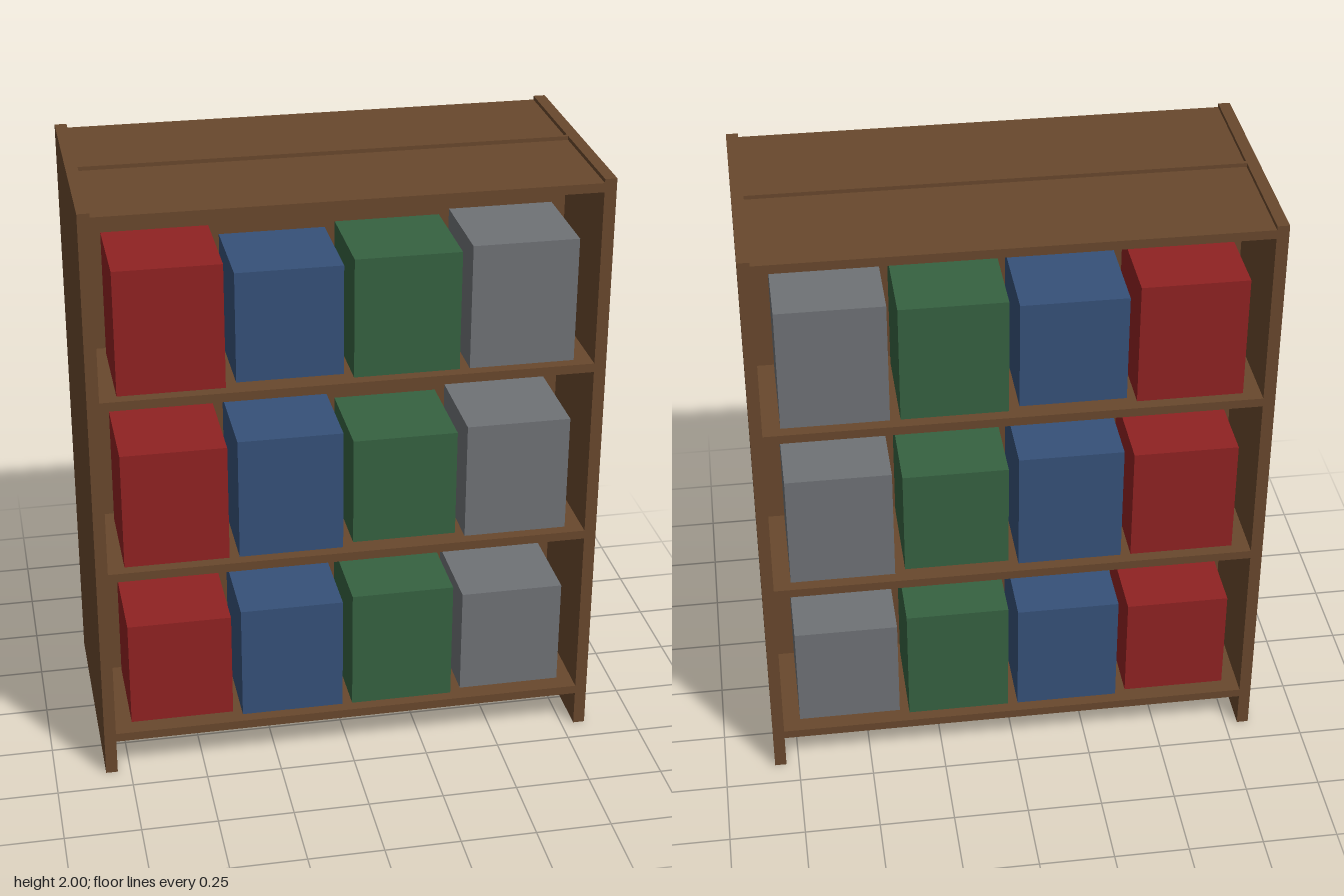
import * as THREE from 'three';

const mat = (name, color) => {
  const m = new THREE.MeshStandardMaterial({ color });
  m.name = name;
  return m;
};

// Adds a box given its size and centre
function addBox(parent, name, material, [w, h, d], [x, y, z]) {
  const mesh = new THREE.Mesh(new THREE.BoxGeometry(w, h, d), material);
  mesh.name = name;
  mesh.position.set(x, y, z);
  parent.add(mesh);
  return mesh;
}

export function createModel() {
  const model = new THREE.Group();
  model.name = 'doubleSidedShelf';

  const wood = mat('brown wood', 0x69482d);
  const colours = [
    mat('red', 0x902222),
    mat('blue', 0x365179),
    mat('green', 0x366241),
    mat('grey', 0x6f7276),
  ];

  const halfWidth = 0.832, depth = 0.83, inner = 0.793, panel = 0.014;
  const sideThickness = halfWidth - inner;
  const shelfThickness = 0.03, firstShelf = 0.136, pitch = 0.612;

  // Side walls
  for (const s of [1, -1]) {
    addBox(model, s > 0 ? 'leftSide' : 'rightSide', wood,
      [sideThickness, 2, depth], [s * (inner + sideThickness / 2), 1, 0]);
  }

  // Thin panel between the two faces, reaching from the floor past the top boards
  addBox(model, 'centrePanel', wood, [inner * 2, 2, panel], [0, 1, 0]);

  // Shelves and their boxes, the same on both faces
  const shelfDepth = (depth - panel) / 2;
  const heights = [0.369, 0.402, 0.435];
  for (const s of [1, -1]) {
    const face = new THREE.Group();
    face.name = s > 0 ? 'frontFace' : 'backFace';
    model.add(face);
    const z = s * (panel + shelfDepth) / 2;

    for (let row = 0; row < 4; row++) {
      const y = firstShelf + row * pitch;
      addBox(face, row < 3 ? 'shelf' : 'topBoard', wood,
        [inner * 2, shelfThickness, shelfDepth], [0, y, z]);
      if (row === 3) continue;

      // Four boxes per shelf, with heights cycling along the rows
      colours.forEach((colour, i) => {
        addBox(face, 'storageBox', colour,
          [0.343, heights[(i + row) % 3], 0.33],
          [(i - 1.5) * 0.376, y + 0.215, z]);
      });
    }
  }
  return model;
}
